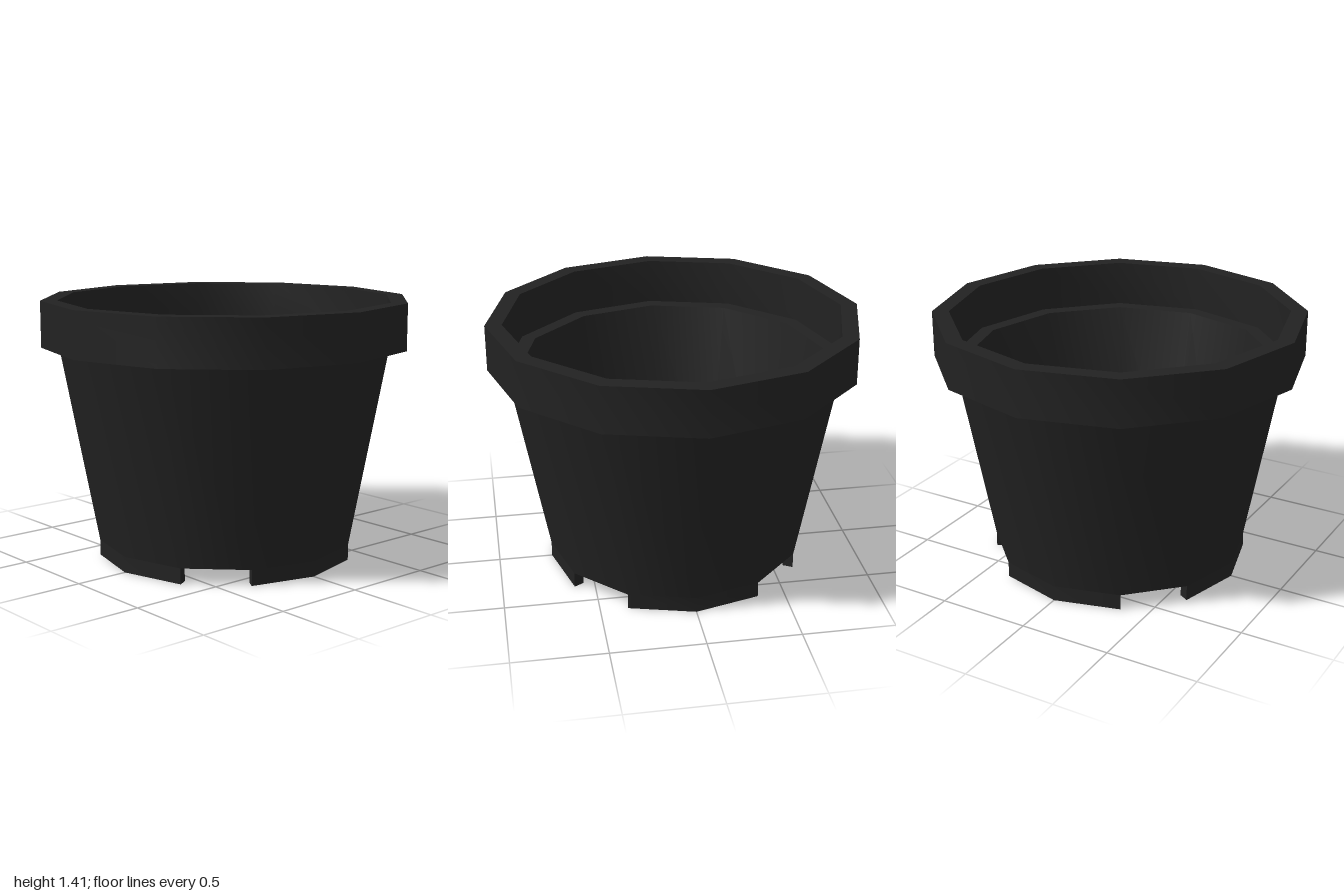
import * as THREE from 'three';
import { mergeGeometries, toCreasedNormals } from 'three/addons/utils/BufferGeometryUtils.js';

const SIDES = 12;
const CREASE = THREE.MathUtils.degToRad(40);
const FOOT = { inner: 0.647, outer: 0.705, height: 0.085 };

const profile = (pairs) => pairs.map(([r, y]) => new THREE.Vector2(r, y));

// Tapered wall, stepped rim and floor as one closed turned shell
function potGeometry() {
  const points = profile([
    [0, 0.085], [0.705, 0.085],             // underside
    [0.905, 1.16], [1, 1.16], [1, 1.41],    // outer wall and rim
    [0.91, 1.41], [0.91, 1.16],             // rim top and inside
    [0.83, 1.16], [0.64, 0.14], [0, 0.14],  // ledge, inner wall, floor
  ]);
  return toCreasedNormals(new THREE.LatheGeometry(points, SIDES), CREASE);
}

// Two-facet arc of the base ring, closed at both ends
function footGeometry() {
  const { inner, outer, height } = FOOT;
  const half = Math.PI / 6;
  const arc = new THREE.LatheGeometry(
    profile([[inner, height], [inner, 0], [outer, 0], [outer, height]]),
    2, -half, 2 * half
  );
  const caps = [-1, 1].map((side) => {
    const cap = new THREE.PlaneGeometry(outer - inner, height);
    if (side > 0) cap.rotateY(Math.PI);
    return cap.translate((inner + outer) / 2, height / 2, 0).rotateY(side * half - Math.PI / 2);
  });
  return toCreasedNormals(mergeGeometries([arc, ...caps]), CREASE);
}

export function createModel() {
  const group = new THREE.Group();
  group.name = 'plantPot';
  const material = new THREE.MeshStandardMaterial({ color: 0x222222 });

  const pot = new THREE.Mesh(potGeometry(), material);
  pot.name = 'pot';
  group.add(pot);

  // Four feet with drainage gaps between them
  const geometry = footGeometry();
  ['frontFoot', 'leftFoot', 'backFoot', 'rightFoot'].forEach((name, i) => {
    const foot = new THREE.Mesh(geometry, material);
    foot.name = name;
    foot.rotation.y = i * Math.PI / 2;
    group.add(foot);
  });
  return group;
}
